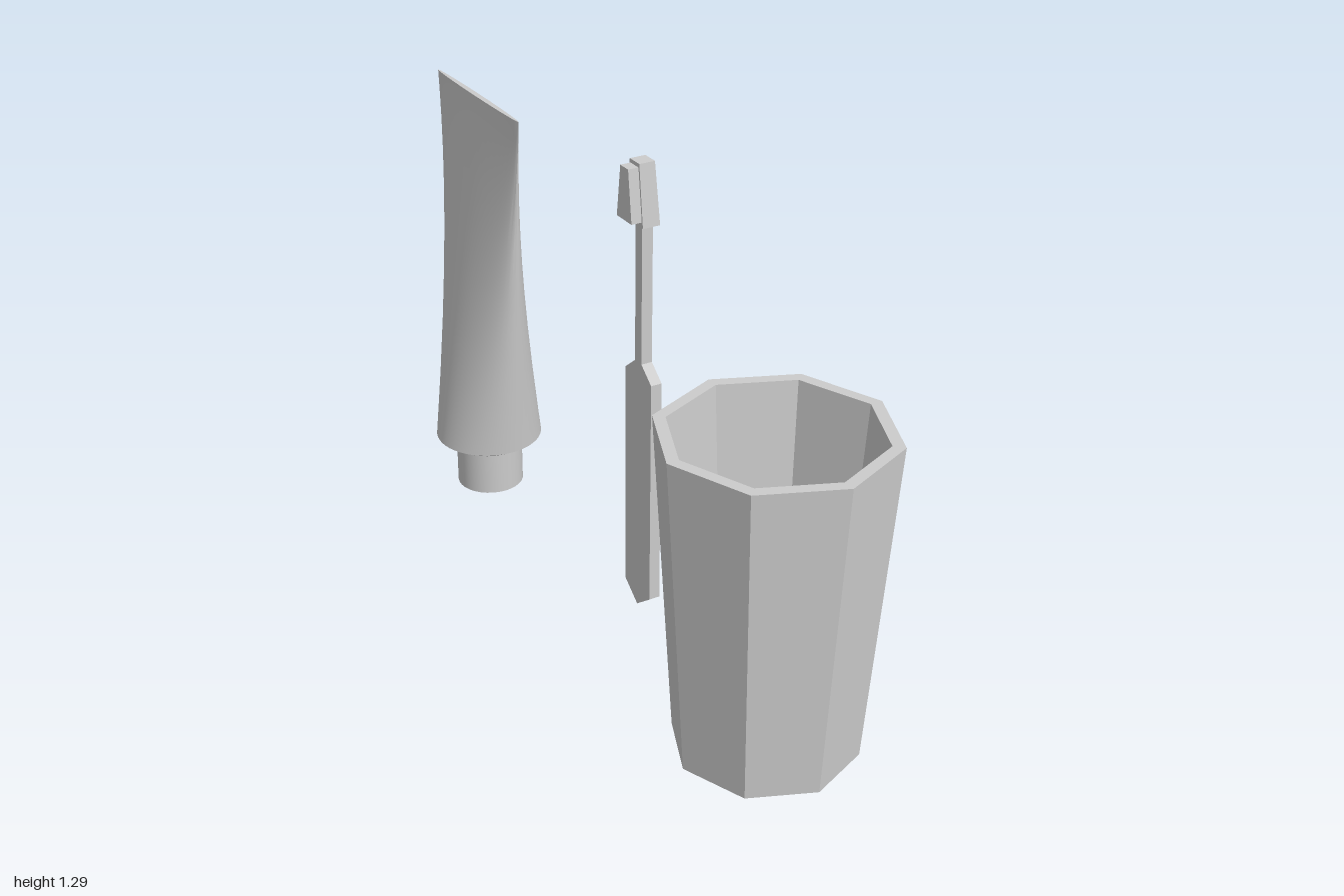
import * as THREE from 'three';
import { toCreasedNormals } from 'three/addons/utils/BufferGeometryUtils.js';

const flat = new THREE.MeshStandardMaterial({ color: 0xcccccc, flatShading: true });
const smooth = new THREE.MeshStandardMaterial({ color: 0xcccccc });

function add(parent, name, geometry, material, x = 0, y = 0, z = 0) {
  const mesh = new THREE.Mesh(geometry, material);
  mesh.name = name;
  mesh.position.set(x, y, z);
  parent.add(mesh);
  return mesh;
}

// Closed skin through elliptical rings given as [y, half width x, half width z]
function loft(rings, sides) {
  const pos = [], index = [];
  for (const [y, rx, rz] of rings) {
    for (let i = 0; i < sides; i++) {
      const a = (i / sides) * Math.PI * 2;
      pos.push(Math.sin(a) * rx, y, Math.cos(a) * rz);
    }
  }
  for (let r = 0; r < rings.length - 1; r++) {
    for (let i = 0; i < sides; i++) {
      const j = (i + 1) % sides, lo = r * sides, hi = lo + sides;
      if (rings[r][1] > 0) index.push(lo + i, lo + j, hi + j);
      if (rings[r + 1][1] > 0) index.push(lo + i, hi + j, hi + i);
    }
  }
  const g = new THREE.BufferGeometry();
  g.setAttribute('position', new THREE.Float32BufferAttribute(pos, 3));
  g.setIndex(index);
  return toCreasedNormals(g, 0.5);
}

// Box standing on y = 0 whose depth narrows toward the top
function taperedBox(x0, x1, x1Top, h, zBottom, zTop) {
  const g = new THREE.BoxGeometry(1, 1, 1), p = g.attributes.position;
  for (let i = 0; i < p.count; i++) {
    const top = p.getY(i) > 0;
    p.setXYZ(i, p.getX(i) < 0 ? x0 : top ? x1Top : x1, top ? h : 0,
      Math.sign(p.getZ(i)) * (top ? zTop : zBottom));
  }
  return g;
}

export function createModel() {
  const model = new THREE.Group();

  // Octagonal tumbler with a hollow inside
  const cupProfile = [[0, 0.005], [0.235, 0.005], [0.292, 0.87], [0.26, 0.87], [0.2, 0.04], [0, 0.04]]
    .map(([r, y]) => new THREE.Vector2(r, y));
  add(model, 'cup', new THREE.LatheGeometry(cupProfile, 8), flat, 0, 0, 0.705);

  // Toothbrush: flat grip and neck in one outline, then head and bristles
  const brush = new THREE.Group();
  brush.name = 'toothbrush';
  brush.position.z = 0.033;
  const half = [[0.065, 0.05], [0.065, 0.7], [0.016, 0.74], [0.016, 1.13]];
  const outline = [[0, 0], ...half, ...half.slice().reverse().map(([s, y]) => [-s, y])];
  const handle = new THREE.ExtrudeGeometry(
    new THREE.Shape(outline.map(([s, y]) => new THREE.Vector2(s, y))),
    { depth: 0.031, bevelEnabled: false });
  handle.rotateY(-Math.PI / 2);
  add(brush, 'brushHandle', handle, flat, 0.061);
  add(brush, 'brushHead', taperedBox(0.017, 0.066, 0.061, 0.163, 0.042, 0.023), flat, 0, 1.127);
  add(brush, 'bristles', taperedBox(-0.012, 0.02, 0.02, 0.138, 0.036, 0.019), flat, 0, 1.142);
  model.add(brush);

  // Toothpaste tube: round at the shoulder, pressed flat at the crimped end
  const tube = new THREE.Group();
  tube.name = 'toothpasteTube';
  tube.position.set(-0.025, 0, -0.75);
  const body = [[0.15, 0, 0], [0.15, 0.105, 0.105], [0.18, 0.155, 0.155]];
  for (let i = 1; i <= 6; i++) {
    const t = i / 6;
    body.push([0.18 + t, 0.155 - 0.146 * t, 0.155 + 0.09 * t]);
  }
  body.push([1.228, 0.008, 0.249], [1.228, 0, 0]);
  add(tube, 'tubeBody', loft(body, 48), smooth);
  add(tube, 'tubeCap', new THREE.CylinderGeometry(0.097, 0.097, 0.14, 32), smooth, 0, 0.09, 0);
  model.add(tube);

  return model;
}
